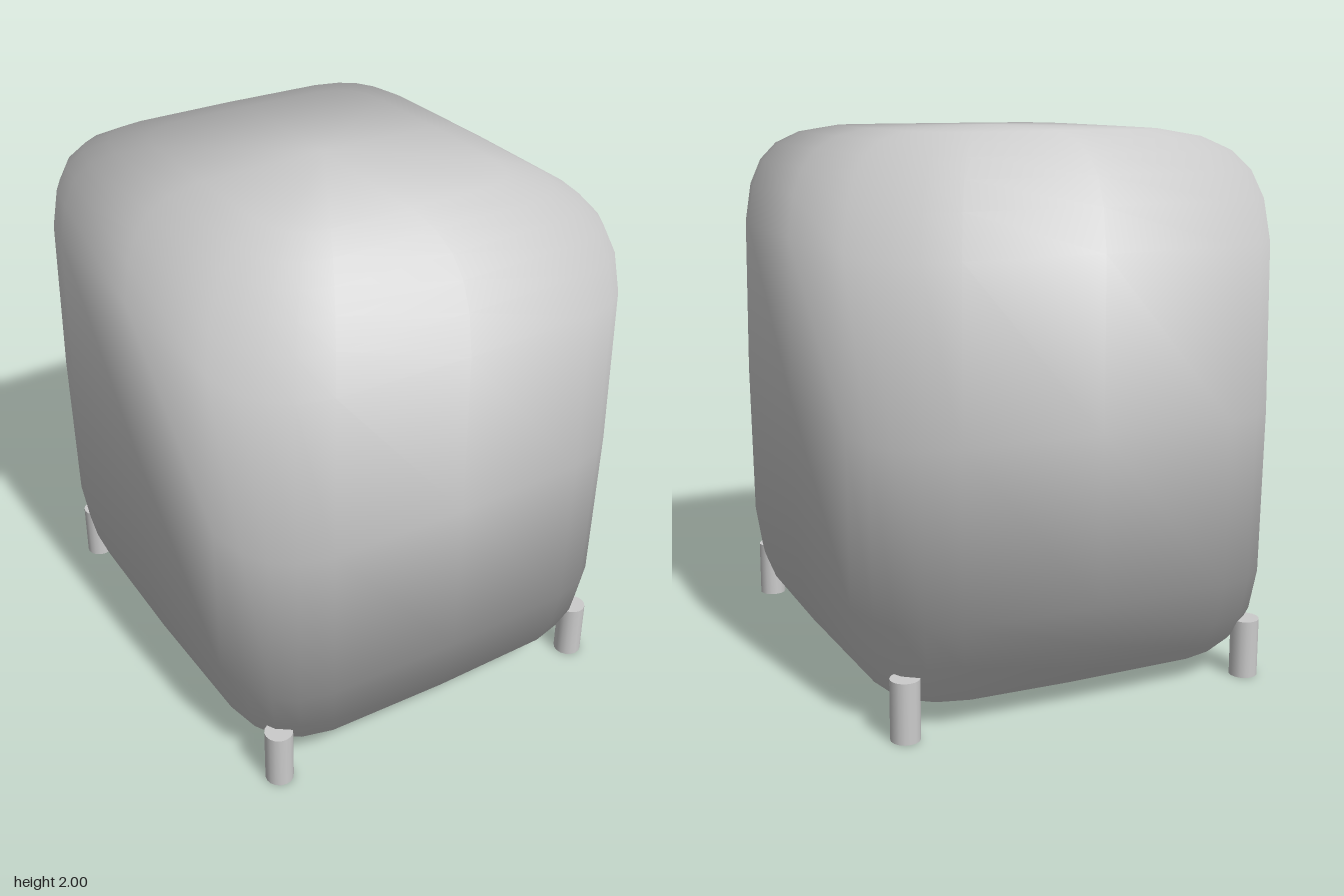
import * as THREE from 'three';

const material = new THREE.MeshStandardMaterial({ color: 0xcccccc });

// Sphere pushed out towards a cube: each coordinate keeps its sign and is raised to a power.
function roundedBody(rx, ry, rz, power) {
  const geometry = new THREE.SphereGeometry(1, 24, 14);
  const pos = geometry.attributes.position;
  const normal = geometry.attributes.normal;
  const swell = (v) => (Math.abs(v) < 1e-6 ? 0 : Math.sign(v) * Math.abs(v) ** power);
  const p = new THREE.Vector3();
  for (let i = 0; i < pos.count; i++) {
    // Swell the ring and the height separately so that the corners fill out evenly
    const y = pos.getY(i);
    const ring = Math.sqrt(Math.max(0, 1 - y * y));
    const k = ring > 1e-6 ? 1 / ring : 0;
    const r = swell(ring);
    p.set(r * swell(pos.getX(i) * k), swell(y), r * swell(pos.getZ(i) * k));
    pos.setXYZ(i, p.x * rx, p.y * ry, p.z * rz);
    // Soft radial normals give the pillow-like shading
    p.normalize();
    normal.setXYZ(i, p.x, p.y, p.z);
  }
  return geometry;
}

export function createModel() {
  const model = new THREE.Group();
  model.name = 'roundedPodOnLegs';

  // Main body
  const body = new THREE.Mesh(roundedBody(0.8, 0.995, 0.92, 1 / 3), material);
  body.name = 'body';
  body.position.y = 1.005;
  model.add(body);

  // Four short legs at the corners
  const legHeight = 0.217;
  const legGeometry = new THREE.CylinderGeometry(0.052, 0.052, legHeight, 16);
  for (const [zName, z] of [['front', 1], ['back', -1]]) {
    for (const [xName, x] of [['Left', 1], ['Right', -1]]) {
      const leg = new THREE.Mesh(legGeometry, material);
      leg.name = `${zName}${xName}Leg`;
      leg.position.set(x * 0.672, legHeight / 2, z * 0.795);
      model.add(leg);
    }
  }
  return model;
}
